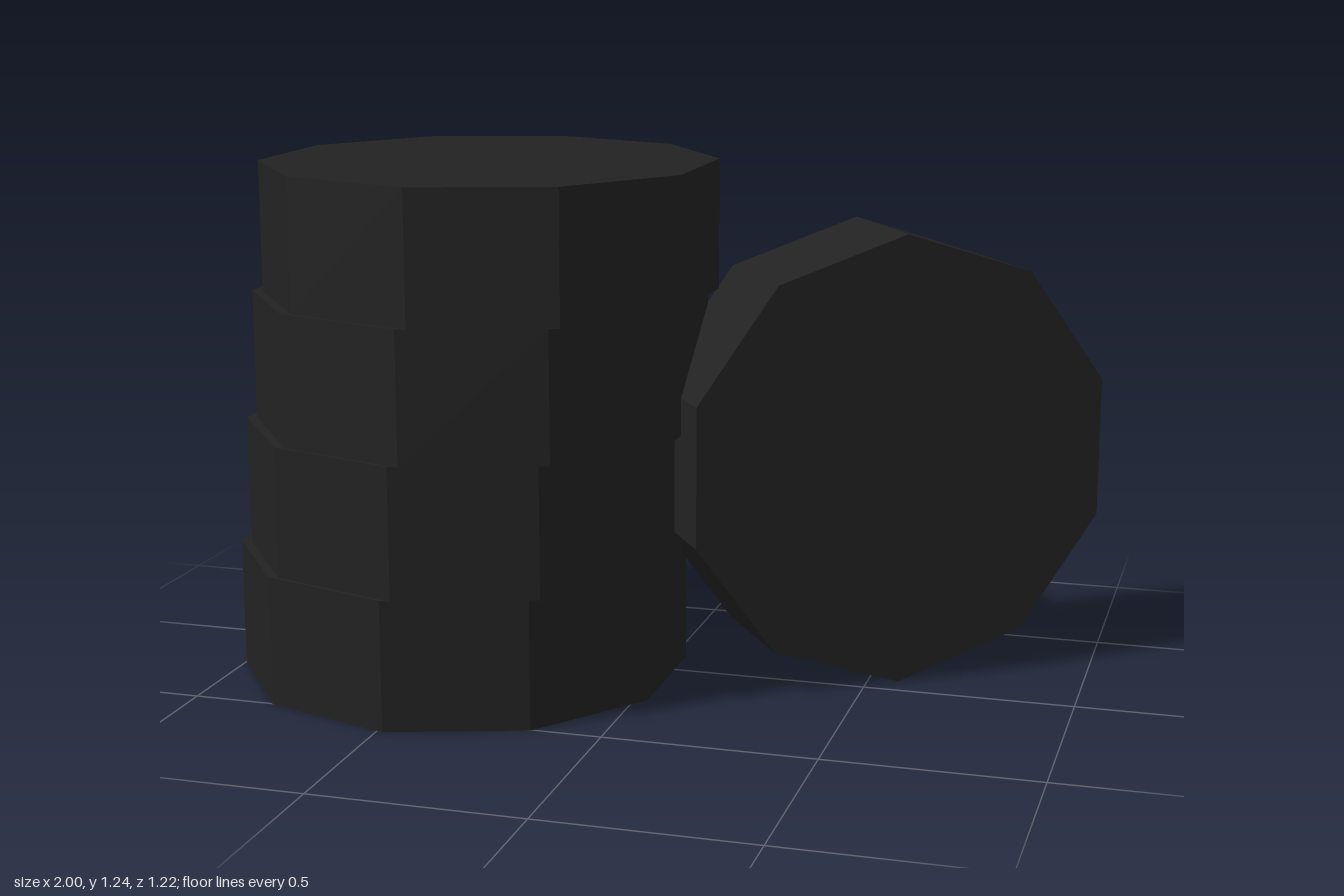
import * as THREE from 'three';

const RADIUS = 0.542;
const THICKNESS = 0.31;

export function createModel() {
  const group = new THREE.Group();
  const rubber = new THREE.MeshStandardMaterial({ color: 0x222222, flatShading: true });
  const geometry = new THREE.CylinderGeometry(RADIUS, RADIUS, THICKNESS, 10);

  const addTyre = (name, x, y, z) => {
    const tyre = new THREE.Mesh(geometry, rubber);
    tyre.name = name;
    tyre.position.set(x, y, z);
    group.add(tyre);
    return tyre;
  };

  // Stack of four tyres, each shifted slightly sideways
  for (let i = 0; i < 4; i++) {
    addTyre(`stackedTyre${i + 1}`, -0.485 + i * 0.0267, THICKNESS * (i + 0.5), 0.065);
  }

  // Tyre standing upright beside the stack, turned towards the left
  const upright = addTyre('uprightTyre', 0.485, RADIUS, -0.192);
  upright.rotation.set(Math.PI / 2, 0.597, 0, 'YXZ');

  return group;
}
